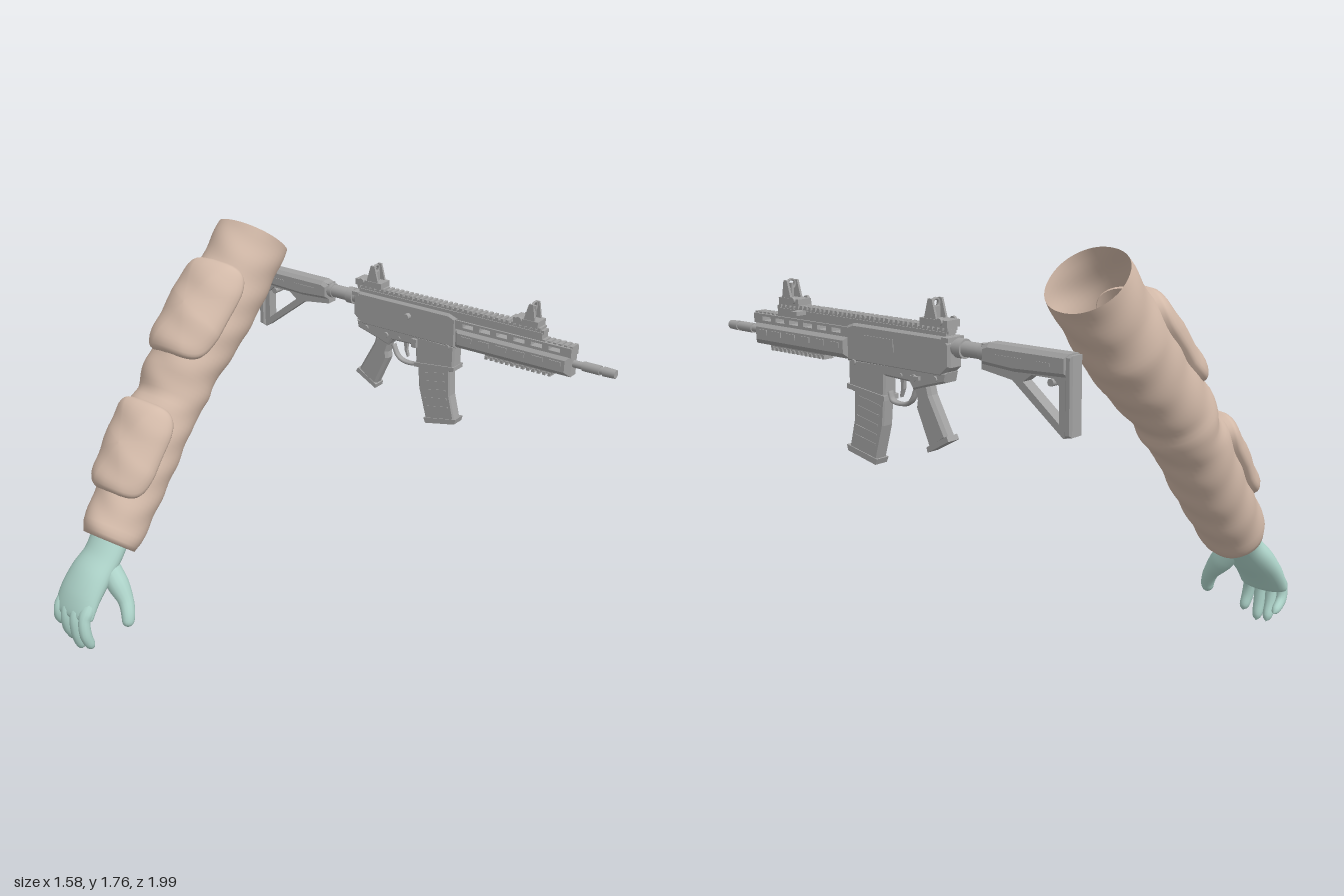
import * as THREE from 'three';
import { mergeGeometries } from 'three/addons/utils/BufferGeometryUtils.js';

const sleeveMat = new THREE.MeshStandardMaterial({ name: 'sleeveTan', color: 0xd3baa9, side: THREE.DoubleSide });
const handMat = new THREE.MeshStandardMaterial({ name: 'gloveMint', color: 0xaed4ca });
const metalMat = new THREE.MeshStandardMaterial({ name: 'gunGrey', color: 0xa2a2a2 });

// Surface of rows x cols points, closed around the columns
function grid(rows, cols, fn) {
  const pos = [], idx = [];
  for (let i = 0; i <= rows; i++)
    for (let j = 0; j < cols; j++) pos.push(...fn(i / rows, (j / cols) * Math.PI * 2).toArray());
  for (let i = 0; i < rows; i++)
    for (let j = 0; j < cols; j++) {
      const a = i * cols + j, b = i * cols + (j + 1) % cols;
      idx.push(a, b, a + cols, b, b + cols, a + cols);
    }
  const g = new THREE.BufferGeometry();
  g.setAttribute('position', new THREE.Float32BufferAttribute(pos, 3));
  g.setIndex(idx);
  g.computeVertexNormals();
  return g;
}

function add(group, name, geo, mat) {
  const m = new THREE.Mesh(geo, mat);
  m.name = name;
  group.add(m);
}

// ---- Sleeve: distance along the arm, upper and lower edge, z centre, z half width
const PROFILE = [
  [0, 0.125, -0.115, -0.82, 0.13], [0.04, 0.148, -0.127, -0.82, 0.142], [0.2, 0.15, -0.137, -0.825, 0.15],
  [0.42, 0.163, -0.143, -0.825, 0.157], [0.63, 0.166, -0.131, -0.825, 0.163], [0.7, 0.147, -0.138, -0.82, 0.163],
  [0.77, 0.17, -0.149, -0.82, 0.17], [0.82, 0.182, -0.133, -0.815, 0.168], [1.05, 0.185, -0.172, -0.79, 0.172],
  [1.23, 0.178, -0.19, -0.78, 0.176], [1.35, 0.167, -0.178, -0.765, 0.172], [1.55, 0.17, -0.17, -0.75, 0.17],
];
const BASE = new THREE.Vector3(-0.51, 0.455, 0);
const ALONG = new THREE.Vector3(0.633, 0.774, 0), UPPER = new THREE.Vector3(-0.774, 0.633, 0);

function armPoint(t, phi, lift = 0, scale = 1) {
  let k = 0;
  while (k < PROFILE.length - 2 && t > PROFILE[k + 1][0]) k++;
  const A = PROFILE[k], B = PROFILE[k + 1];
  const f = THREE.MathUtils.clamp((t - A[0]) / (B[0] - A[0]), 0, 1);
  const [, up, lo, zc, w] = A.map((v, i) => v + (B[i] - v) * f);
  const fold = 0.003 * Math.sin(t * 36 + 2 * Math.sin(phi * 2));
  const h = ((up - lo) / 2 + lift + fold) * scale;
  const p = BASE.clone().addScaledVector(ALONG, t).addScaledVector(UPPER, (up + lo) / 2 + h * Math.cos(phi));
  p.z += zc + (w + lift + fold) * scale * Math.sin(phi);
  return p;
}

// Raised pad with rounded corners wrapped over the sleeve
function pad(t0, t1, spread, height) {
  const soft = (v) => Math.sign(v) * Math.pow(Math.abs(v), 0.45);
  return grid(14, 56, (u, a) => {
    const r = u < 0.8 ? u * 1.15 : 0.92 + (u - 0.8) * 0.4;
    const t = (t0 + t1) / 2 + (t1 - t0) / 2 * r * soft(Math.cos(a));
    const lift = -0.012 + (height + 0.012) * Math.sqrt(Math.max(0, 1 - Math.pow(r, 9)));
    return armPoint(t, spread * r * soft(Math.sin(a)), lift);
  });
}

// Rounded limb through [x, y, z, thickness, width] stations
function limb(stations, rows = 24, cols = 16) {
  const path = new THREE.CatmullRomCurve3(stations.map((s) => new THREE.Vector3(s[0], s[1], s[2])));
  const size = new THREE.CatmullRomCurve3(stations.map((s) => new THREE.Vector3(s[3], s[4], 0)));
  return grid(rows, cols, (u, a) => {
    const c = path.getPoint(u), r = size.getPoint(u), T = path.getTangent(u);
    const S = new THREE.Vector3(0, 0, 1).addScaledVector(T, -T.z).normalize();
    const N = new THREE.Vector3().crossVectors(S, T);
    const end = Math.sqrt(Math.max(0, 1 - Math.pow(Math.max(0, (u - 0.86) / 0.14), 2)));
    return c.addScaledVector(N, r.x * end * Math.cos(a)).addScaledVector(S, r.y * end * Math.sin(a));
  });
}

function buildArm() {
  const arm = new THREE.Group();
  arm.name = 'arm';
  // The first row turns the cuff inward around the wrist
  add(arm, 'sleeve', grid(72, 44, (u, a) => (u === 0
    ? armPoint(0, a, 0, 0.5)
    : armPoint((u * 72 - 1) / 71 * 1.545, a))), sleeveMat);
  add(arm, 'forearmPad', pad(0.2, 0.645, 1.2, 0.044), sleeveMat);
  add(arm, 'upperArmPad', pad(0.87, 1.35, 1.15, 0.042), sleeveMat);

  const hand = new THREE.Group();
  hand.name = 'hand';
  arm.add(hand);
  add(hand, 'palm', limb([[-0.49, 0.5, -0.82, 0.065, 0.1], [-0.56, 0.41, -0.82, 0.063, 0.1], [-0.63, 0.335, -0.835, 0.066, 0.11],
    [-0.69, 0.26, -0.845, 0.056, 0.115], [-0.73, 0.19, -0.848, 0.042, 0.115], [-0.742, 0.155, -0.848, 0.03, 0.105]], 28, 28), handMat);
  // Root z, then tip x, y, z of each finger
  const fingers = [[-0.765, -0.735, 0.03, -0.745], [-0.82, -0.73, 0.0, -0.818], [-0.875, -0.705, 0.018, -0.882], [-0.928, -0.67, 0.078, -0.937]];
  fingers.forEach(([z, x, y, tz], i) => {
    const r = i === 3 ? 0.024 : 0.028;
    add(hand, 'finger', limb([[-0.7, 0.25, z, r, r], [-0.75, 0.185, z, r, r], [-0.76 + i * 0.006, 0.1 + y * 0.35, (z + tz) / 2, r, r * 0.95],
      [x, y, tz, r * 0.75, r * 0.75]], 22, 12), handMat);
  });
  add(hand, 'thumb', limb([[-0.57, 0.38, -0.78, 0.05, 0.05], [-0.575, 0.31, -0.725, 0.052, 0.052], [-0.585, 0.235, -0.665, 0.037, 0.035],
    [-0.605, 0.18, -0.637, 0.032, 0.03], [-0.622, 0.13, -0.628, 0.026, 0.024]], 24, 14), handMat);
  return arm;
}

// ---- Rifle helpers; x is measured from the rifle's centre plane
const box = (w, h, d, x, y, z) => new THREE.BoxGeometry(w, h, d).translate(x, y, z);
const tube = (r0, r1, z0, z1, y) =>
  new THREE.CylinderGeometry(r1, r0, z1 - z0, 16).rotateX(Math.PI / 2).translate(0, y, (z0 + z1) / 2);
const pin = (r, w, y, z, x = 0) => new THREE.CylinderGeometry(r, r, w, 12).rotateZ(Math.PI / 2).translate(x, y, z);

// Side outline of [z, y] points extruded across x
function side(points, width, bevel = 0, holes = []) {
  const shape = new THREE.Shape(points.map((p) => new THREE.Vector2(...p)));
  shape.holes = holes.map((h) => new THREE.Path(h.map((p) => new THREE.Vector2(...p))));
  const depth = width - 2 * bevel;
  return new THREE.ExtrudeGeometry(shape, {
    depth, bevelEnabled: bevel > 0, bevelThickness: bevel, bevelSize: bevel, bevelOffset: -bevel, bevelSegments: 1,
  }).translate(0, 0, -depth / 2).rotateY(-Math.PI / 2);
}
const rect = (z0, z1, y0, y1) => [[z0, y0], [z1, y0], [z1, y1], [z0, y1]];

// Toothed rail
function rail(z0, z1, y0, y1, w, dir = 1) {
  const mid = (y0 + y1) / 2, parts = [box(w * 0.8, (y1 - y0) * 0.6, z1 - z0, 0, mid - dir * (y1 - y0) * 0.2, (z0 + z1) / 2)];
  for (let z = z0 + 0.008; z < z1; z += 0.026) parts.push(box(w, (y1 - y0) * 0.6, 0.014, 0, mid + dir * (y1 - y0) * 0.2, z));
  return mergeGeometries(parts);
}

function buildRifle() {
  const gun = new THREE.Group();
  gun.name = 'rifle';
  gun.position.x = 0.695;
  const put = (name, ...geos) => geos.forEach((g) => add(gun, name, g, metalMat));

  // Barrel and muzzle
  put('barrel', tube(0.016, 0.016, 0.2, 0.86, 1.33));
  put('muzzle', tube(0.021, 0.021, 0.85, 0.93, 1.33), tube(0.016, 0.016, 0.93, 0.945, 1.33), tube(0.021, 0.019, 0.945, 1, 1.33));

  // Handguard with through slots above and raised side keys
  put('handguard', side(rect(0.23, 0.805, 1.275, 1.372), 0.09, 0.022));
  const slots = [0.3, 0.385, 0.47, 0.555, 0.64, 0.725].map((z) => rect(z - 0.027, z + 0.027, 1.377, 1.395));
  put('slottedTop', side(rect(0.23, 0.805, 1.365, 1.405), 0.068, 0, slots));
  for (const s of [-1, 1])
    for (let i = 0; i < 6; i++)
      put('handguardKey', box(0.006, 0.022, 0.055, s * 0.046, 1.33, 0.3 + i * 0.088));
  put('frontRail', rail(0.66, 0.805, 1.395, 1.412, 0.05));
  put('lowerRail', rail(0.385, 0.72, 1.254, 1.28, 0.05, -1));
  put('topRailBase', box(0.052, 0.04, 0.95, 0, 1.42, 0.185));
  put('topRail', rail(-0.3, 0.665, 1.434, 1.46, 0.054));

  // Receivers
  put('upperReceiver', side([[0.24, 1.27], [0.24, 1.41], [0.2, 1.425], [-0.29, 1.425], [-0.315, 1.4], [-0.315, 1.31], [-0.27, 1.27]], 0.076, 0.01));
  put('lowerReceiver', side([[0.235, 1.28], [0.235, 1.165], [0.215, 1.15], [0.035, 1.14], [0.03, 1.235], [-0.1, 1.23], [-0.12, 1.2],
    [-0.2, 1.225], [-0.29, 1.25], [-0.3, 1.29]], 0.07, 0.008));
  put('magwellLip', side([[0.24, 1.18], [0.24, 1.16], [0.03, 1.135], [0.03, 1.155]], 0.08));
  put('ejectionCover', box(0.006, 0.05, 0.17, 0.038, 1.36, 0.06));
  put('receiverPins', pin(0.012, 0.084, 1.27, 0.2), pin(0.012, 0.084, 1.26, -0.24), pin(0.009, 0.08, 1.25, -0.06));
  put('boltRelease', box(0.016, 0.04, 0.025, -0.042, 1.25, 0.03));
  put('selector', pin(0.014, 0.088, 1.25, -0.13), box(0.012, 0.014, 0.05, 0.042, 1.252, -0.14));
  put('forwardAssist', pin(0.015, 0.03, 1.37, -0.01, -0.046));
  put('chargingHandle', box(0.05, 0.016, 0.035, 0.07, 1.44, 0.48));
  put('rearLatch', box(0.088, 0.018, 0.035, 0, 1.415, -0.3));

  // Trigger and guard
  const guard = new THREE.CatmullRomCurve3([[0.035, 1.17], [0.02, 1.135], [-0.05, 1.13], [-0.085, 1.15], [-0.11, 1.2]]
    .map(([z, y]) => new THREE.Vector3(0, y, z)));
  put('triggerGuard', new THREE.TubeGeometry(guard, 20, 0.009, 8).scale(1.8, 1, 1));
  put('trigger', side([[-0.03, 1.24], [-0.05, 1.24], [-0.045, 1.19], [-0.03, 1.155], [-0.025, 1.16], [-0.033, 1.19]], 0.016));

  // Magazine with ribs and floor plate
  put('magazine', side([[0.21, 1.17], [0.04, 1.16], [0.052, 1.03], [0.095, 0.88], [0.247, 0.915], [0.218, 1.03]], 0.056, 0.006));
  put('magazineFloor', side([[0.258, 0.925], [0.252, 0.9], [0.096, 0.866], [0.086, 0.89]], 0.064));
  for (let i = 0; i < 5; i++)
    put('magazineRib', box(0.06, 0.008, 0.12, 0, 0, 0).rotateX(-0.2).translate(0, 0.96 + i * 0.04, 0.155 - i * 0.008));

  // Pistol grip
  put('grip', side([[-0.11, 1.23], [-0.195, 1.23], [-0.205, 1.19], [-0.29, 1.035], [-0.195, 0.975], [-0.125, 1.13], [-0.13, 1.16]], 0.056, 0.012));
  put('gripCap', side([[-0.185, 0.985], [-0.19, 0.965], [-0.3, 1.025], [-0.29, 1.045]], 0.06));

  // Stock and its tube
  put('stockTube', tube(0.03, 0.03, -0.8, -0.3, 1.385), tube(0.038, 0.038, -0.365, -0.33, 1.385), tube(0.034, 0.034, -0.48, -0.45, 1.385));
  put('stock', side([[-0.465, 1.42], [-0.875, 1.425], [-0.88, 1.135], [-0.845, 1.125], [-0.61, 1.305], [-0.465, 1.325]], 0.05, 0,
    [[[-0.66, 1.305], [-0.7, 1.335], [-0.8, 1.335], [-0.825, 1.31], [-0.825, 1.175]]]));
  put('stockTop', side([[-0.465, 1.415], [-0.5, 1.428], [-0.87, 1.43], [-0.87, 1.345], [-0.62, 1.335], [-0.465, 1.345]], 0.08, 0.016));
  put('buttPad', side([[-0.852, 1.425], [-0.885, 1.425], [-0.885, 1.135], [-0.852, 1.13]], 0.068, 0.008));
  put('stockRidge', box(0.084, 0.012, 0.13, 0, 1.385, -0.6), box(0.084, 0.012, 0.07, 0, 1.385, -0.76));
  put('stockPin', pin(0.014, 0.062, 1.32, -0.79));

  // Flip-up sights
  put('frontSight', box(0.07, 0.028, 0.12, 0, 1.472, 0.58), box(0.012, 0.07, 0.016, 0, 1.51, 0.6),
    new THREE.TorusGeometry(0.02, 0.005, 8, 20).translate(0, 1.54, 0.6));
  put('rearSight', box(0.07, 0.028, 0.14, 0, 1.472, -0.235), box(0.03, 0.06, 0.022, 0, 1.5, -0.215),
    new THREE.TorusGeometry(0.018, 0.006, 8, 20).translate(0, 1.54, -0.215));
  for (const s of [-1, 1]) {
    put('sightEar', side([[0.625, 1.47], [0.565, 1.47], [0.59, 1.557], [0.61, 1.557]], 0.01).translate(s * 0.027, 0, 0),
      side([[-0.18, 1.47], [-0.25, 1.47], [-0.225, 1.56], [-0.205, 1.56]], 0.01).translate(s * 0.027, 0, 0));
    put('sightKnob', pin(0.014, 0.012, 1.48, 0.55, s * 0.038), pin(0.014, 0.012, 1.48, -0.27, s * 0.038));
  }
  return gun;
}

export function createModel() {
  const model = new THREE.Group();
  model.name = 'armAndRifle';
  model.add(buildArm(), buildRifle());
  return model;
}
